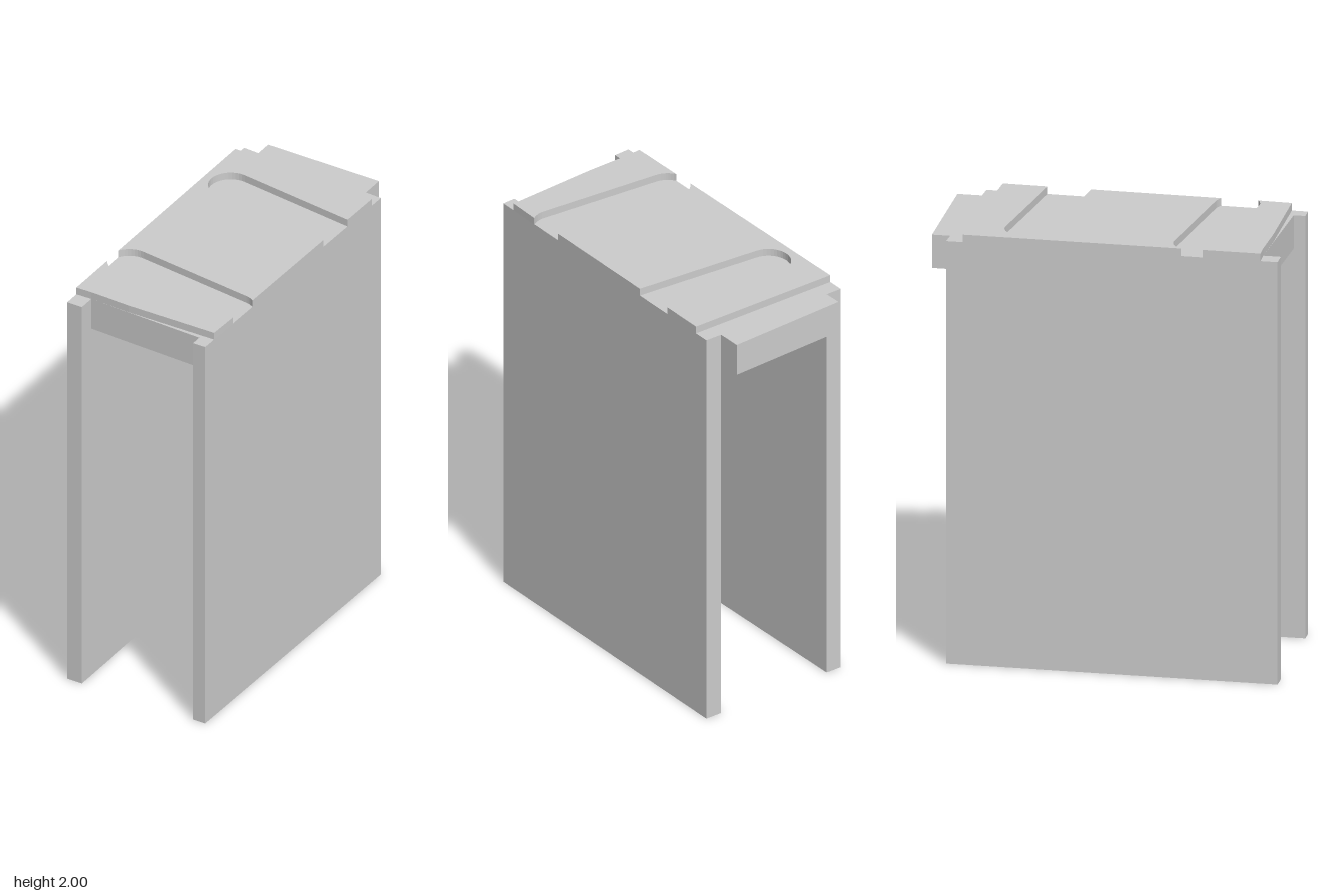
import * as THREE from 'three';

const material = new THREE.MeshStandardMaterial({ color: 0xcccccc });
const TOP = 2, LEDGE = 1.965, UNDERSIDE = 1.81;
const R = 0.1;        // groove end radius
const TILT = 0.127;   // groove angle in plan
const LX = -0.367;    // outer face of the -x wall
const rx = (z) => 0.363 - 0.0122 * (z + 0.67); // slightly slanted outer face of the +x wall

// Upright prism from a plan outline of [x, z] points
function prism(name, outline, y0, y1) {
  const shape = new THREE.Shape(outline.map(([x, z]) => new THREE.Vector2(x, -z)));
  const geometry = new THREE.ExtrudeGeometry(shape, { depth: y1 - y0, bevelEnabled: false });
  geometry.rotateX(-Math.PI / 2).translate(0, y0, 0);
  const mesh = new THREE.Mesh(geometry, material);
  mesh.name = name;
  return mesh;
}

// Plan points along a groove end
function arc([cx, cz], a0, a1, n = 12) {
  return Array.from({ length: n + 1 }, (_, i) => {
    const a = a0 + (a1 - a0) * i / n;
    return [cx + R * Math.cos(a), cz + R * Math.sin(a)];
  });
}

export function createModel() {
  const group = new THREE.Group();
  group.name = 'channelBlock';

  // Side walls
  group.add(prism('rightWall', [[LX, -0.707], [-0.291, -0.703], [-0.291, 0.785], [LX, 0.785]], 0, LEDGE));
  group.add(prism('leftWall', [[0.283, -0.675], [rx(-0.67), -0.671], [rx(0.78), 0.78], [0.283, 0.78]], 0, LEDGE));

  // Bridging slab with its rear tab
  group.add(prism('topSlab', [[-0.291, -0.785], [0.283, -0.785], [0.283, 0.728], [-0.291, 0.706]], UNDERSIDE, LEDGE));

  // Raised top surface, split by the front groove and notched by the rear one
  const frontA = [-0.28, 0.4], frontB = [0.295, 0.473], rear = [-0.23, -0.37];
  const near = Math.PI / 2 + TILT, far = 1.5 * Math.PI + TILT;
  const cutL = Math.asin((LX - frontA[0]) / -R); // where the groove ends run out of the sides
  const openL = Math.PI / 2 - cutL;
  const openR = Math.acos((0.351 - frontB[0]) / R);

  group.add(prism('raisedTopFront', [
    [LX, 0.708], [-0.291, 0.706], [-0.09, 0.712], [rx(0.707), 0.707],
    ...arc(frontB, openR, near, 6),
    ...arc(frontA, near, Math.PI - openL, 8),
  ], LEDGE, TOP));

  group.add(prism('raisedTopRear', [
    ...arc(frontA, Math.PI + openL, far, 8),
    ...arc(frontB, far, 2 * Math.PI - openR, 6),
    [rx(-0.196), -0.196],
    ...arc(rear, near, far, 20),
    [rx(-0.394), -0.394], [rx(-0.597), -0.597], [LX, -0.633],
  ], LEDGE, TOP));

  return group;
}
